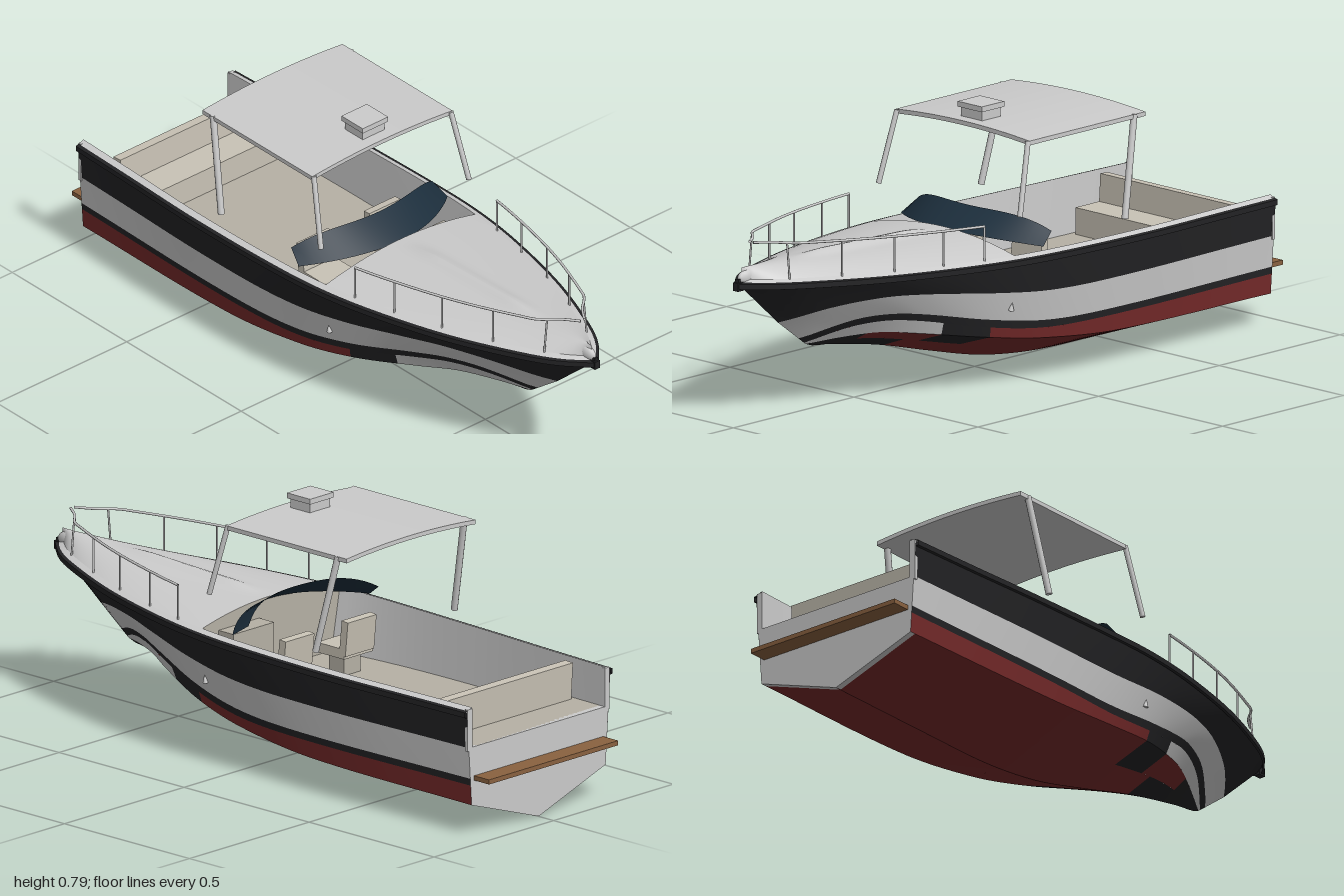
import * as THREE from 'three';

const mat = (color) => new THREE.MeshStandardMaterial({ color, side: THREE.DoubleSide });
const GREY = mat(0xcccccc), BLACK = mat(0x232325), RED = mat(0x762a2a), GLASS = mat(0x1c2e3c),
  WOOD = mat(0x8a6240), BEIGE = mat(0xb6b1a5), SEAT = mat(0xc9c3b6);

// Smooth curve through [x, value] points
function curve(pts) {
  const n = pts.length;
  const slope = (i) => {
    const a = pts[Math.max(i - 1, 0)], b = pts[Math.min(i + 1, n - 1)];
    return (b[1] - a[1]) / (b[0] - a[0]);
  };
  return (x) => {
    if (x <= pts[0][0]) return pts[0][1];
    if (x >= pts[n - 1][0]) return pts[n - 1][1];
    let i = 0;
    while (x > pts[i + 1][0]) i++;
    const [x0, y0] = pts[i], [x1, y1] = pts[i + 1], h = x1 - x0, t = (x - x0) / h;
    const t2 = t * t, t3 = t2 * t;
    return (2 * t3 - 3 * t2 + 1) * y0 + (t3 - 2 * t2 + t) * h * slope(i)
      + (3 * t2 - 2 * t3) * y1 + (t3 - t2) * h * slope(i + 1);
  };
}

// Hull lines: keel and stem, chine, sheer
const STERN = -0.94, FLOOR = 0.22, BULKHEAD = 0.13;
const keelY = curve([[-0.94, 0], [-0.5, 0], [-0.3, 0.001], [-0.15, 0.012], [0, 0.035], [0.2, 0.085], [0.4, 0.138],
  [0.6, 0.177], [0.7, 0.195], [0.815, 0.28], [0.98, 0.425]]);
const chineY = curve([[-0.94, 0.095], [-0.3, 0.105], [0, 0.133], [0.2, 0.165], [0.4, 0.2], [0.5, 0.213], [0.6, 0.208], [0.7, 0.195]]);
const chineZ = curve([[-0.94, 0.28], [-0.3, 0.285], [0, 0.268], [0.2, 0.232], [0.4, 0.158], [0.5, 0.108], [0.6, 0.055], [0.7, 0]]);
const sheerY = curve([[-0.94, 0.378], [-0.4, 0.382], [0, 0.39], [0.5, 0.405], [0.98, 0.425]]);
const sheerZ = curve([[-0.94, 0.3], [-0.7, 0.308], [-0.4, 0.319], [0, 0.318], [0.2, 0.3], [0.4, 0.26], [0.6, 0.204],
  [0.8, 0.125], [0.9, 0.073], [0.98, 0.008]]);

// Half breadth of the hull at a given station and height
function halfBreadth(x, y) {
  const k = keelY(x), cy = x > 0.7 ? k : chineY(x), cz = x > 0.7 ? 0 : chineZ(x), sy = sheerY(x);
  if (y <= cy) return cy - k < 1e-4 ? 0 : Math.max(0, cz * (y - k) / (cy - k));
  if (sy - cy < 1e-4) return sheerZ(x);
  return cz + (sheerZ(x) - cz) * Math.min(1, (y - cy) / (sy - cy));
}

export function createModel() {
  const boat = new THREE.Group();
  boat.name = 'motorboat';

  const add = (name, geometry, material, x = 0, y = 0, z = 0) => {
    const m = new THREE.Mesh(geometry, material);
    m.name = name;
    m.position.set(x, y, z);
    boat.add(m);
    return m;
  };
  const box = (name, material, x0, x1, y0, y1, z0, z1) =>
    add(name, new THREE.BoxGeometry(x1 - x0, y1 - y0, z1 - z0), material, (x0 + x1) / 2, (y0 + y1) / 2, (z0 + z1) / 2);

  // Grid surface from a rule f(u, v) -> [x, y, z], optionally mirrored in z
  function grid(f, nu, nv, side = 1) {
    const pos = [], idx = [], w = nu + 1;
    for (let j = 0; j <= nv; j++) for (let i = 0; i <= nu; i++) {
      const [x, y, z] = f(i / nu, j / nv);
      pos.push(x, y, z * side);
    }
    for (let j = 0; j < nv; j++) for (let i = 0; i < nu; i++) {
      const a = j * w + i, b = a + 1, c = b + w, d = a + w;
      if (side > 0) idx.push(a, b, c, a, c, d);
      else idx.push(a, c, b, a, d, c);
    }
    const g = new THREE.BufferGeometry();
    g.setAttribute('position', new THREE.Float32BufferAttribute(pos, 3));
    g.setIndex(idx);
    g.computeVertexNormals();
    return g;
  }
  const sides = (name, f, nu, nv, material) => {
    add(name + 'Left', grid(f, nu, nv), material);
    add(name + 'Right', grid(f, nu, nv, -1), material);
  };
  const rod = (name, a, b, r, n = 10) => {
    const p = new THREE.Vector3(...a), d = new THREE.Vector3(...b).sub(p);
    const m = add(name, new THREE.CylinderGeometry(r, r, d.length(), n), GREY);
    m.position.copy(p).addScaledVector(d, 0.5);
    m.quaternion.setFromUnitVectors(new THREE.Vector3(0, 1, 0), d.normalize());
  };

  // Hull rows running from stern to stem
  const row = (yOf, xEnd) => (t) => {
    const x = STERN + (xEnd - STERN) * t, y = yOf(x);
    return [x, y, t === 1 && xEnd < 0.9 ? 0 : halfBreadth(x, y)];
  };
  const keel = row(keelY, 0.7), chine = row(chineY, 0.7);
  const bilge = row((x) => (keelY(x) + chineY(x)) / 2, 0.7);
  const stripeLow = row(curve([[-0.94, 0.155], [-0.2, 0.157], [0, 0.165], [0.2, 0.196], [0.4, 0.24], [0.5, 0.252],
    [0.6, 0.241], [0.707, 0.2]]), 0.707);
  const stripeTop = row(curve([[-0.94, 0.176], [-0.2, 0.178], [0, 0.188], [0.2, 0.22], [0.4, 0.262], [0.5, 0.274],
    [0.6, 0.266], [0.73, 0.217]]), 0.73);
  const bandLow = row(curve([[-0.94, 0.27], [-0.2, 0.272], [0, 0.28], [0.2, 0.303], [0.4, 0.328], [0.55, 0.336],
    [0.7, 0.318], [0.815, 0.28]]), 0.815);
  const sheer = row(sheerY, 0.98);

  // Painted strakes: lower row, upper row, then [end, colour] runs along the length
  const strakes = [
    ['bottomInner', keel, bilge, [[0.805, RED], [1, BLACK]]],
    ['bottomOuter', bilge, chine, [[0.683, RED], [0.774, BLACK], [0.9, RED], [1, BLACK]]],
    ['lowerSide', chine, stripeLow, [[0.683, RED], [0.774, BLACK], [1, GREY]]],
    ['stripe', stripeLow, stripeTop, [[1, BLACK]]],
    ['side', stripeTop, bandLow, [[1, GREY]]],
    ['topBand', bandLow, sheer, [[1, BLACK]]],
  ];
  for (const [name, low, high, runs] of strakes) {
    let start = 0;
    for (const [end, material] of runs) {
      const s = start;
      sides(name, (u, v) => {
        const t = s + (end - s) * u, a = low(t), b = high(t);
        return a.map((c, i) => c + (b[i] - c) * v);
      }, Math.ceil(64 * (end - s)), 4, material);
      start = end;
    }
  }

  // Rub rail and gunwale cap around the sheer
  const edge = (dz, dy) => (t) => {
    const [x, y, z] = sheer(t);
    return [x + (t > 0.99 ? Math.max(dz, -0.02) : 0), y + dy, Math.max(0, z + dz)];
  };
  const trims = [['rubRailUnder', edge(0, -0.016), edge(0.008, -0.014), BLACK], ['rubRail', edge(0.008, -0.014), edge(0.008, 0.002), BLACK],
    ['rubRailTop', edge(0.008, 0.002), edge(-0.003, 0.005), BLACK], ['gunwale', edge(-0.003, 0.005), edge(-0.022, 0.012), GREY]];
  for (const [name, a, b, m] of trims)
    sides(name, (u, v) => { const p = a(u), q = b(u); return p.map((c, i) => c + (q[i] - c) * v); }, 64, 1, m);
  box('stemCap', BLACK, 0.965, 0.99, 0.405, 0.43, -0.01, 0.01);

  // Transom and bulwark ends
  const t = new THREE.Shape();
  [[0, 0], [0.28, 0.095], [0.292, 0.27], [-0.292, 0.27], [-0.28, 0.095]].forEach(([z, y], i) => i ? t.lineTo(z, y) : t.moveTo(z, y));
  const transom = new THREE.ExtrudeGeometry(t, { depth: 0.02, bevelEnabled: false });
  transom.rotateY(-Math.PI / 2);
  add('transom', transom, GREY, STERN + 0.02);
  for (const s of [-1, 1]) box('bulwarkEnd', GREY, STERN, STERN + 0.01, 0.26, 0.386, s * 0.287 - 0.01, s * 0.287 + 0.01);

  // Cockpit lining, floor and forward bulkhead
  const cockpitX = (u) => STERN + (BULKHEAD - STERN) * u;
  const innerZ = (x) => halfBreadth(x, FLOOR) - 0.012;
  sides('cockpitWall', (u, v) => {
    const x = cockpitX(u), z = sheerZ(x) - 0.022;
    return [x, sheerY(x) + 0.012 + (FLOOR - sheerY(x) - 0.012) * v, z + (innerZ(x) - z) * v];
  }, 30, 1, GREY);
  sides('cockpitFloor', (u, v) => [cockpitX(u), FLOOR, innerZ(cockpitX(u)) * (1 - v)], 30, 1, BEIGE);

  // Domed foredeck with a centre ridge
  const deckAt = (x, k) => {
    const z = Math.max(0, sheerZ(x) - 0.022) * k;
    const ridge = 0.012 * Math.exp(-((z / 0.025) ** 2)) * THREE.MathUtils.smoothstep(x, 0.15, 0.3) * (1 - THREE.MathUtils.smoothstep(x, 0.6, 0.78));
    return [x, sheerY(x) + 0.012 + 0.036 * (1 - k * k) + ridge, z];
  };
  sides('foredeck', (u, v) => deckAt(BULKHEAD + (0.965 - BULKHEAD) * u, 1 - v), 50, 20, GREY);
  sides('bulkhead', (u, v) => {
    const [x, y, z] = deckAt(BULKHEAD, 1 - u);
    return [x, FLOOR + (y - FLOOR) * v, z + (innerZ(x) * (1 - u) - z) * (1 - v)];
  }, 16, 1, BEIGE);
  const nose = add('bowFairing', new THREE.SphereGeometry(1, 16, 10), GREY, 0.935, 0.44, 0);
  nose.scale.set(0.045, 0.026, 0.017);
  box('bowRoller', BLACK, 0.96, 0.985, 0.415, 0.44, -0.006, 0.006);

  // Wraparound windshield
  add('windshield', grid((u, v) => {
    const s = 2 * u - 1, s2 = s * s;
    const a = [0.13 - 0.12 * s2, 0.435 - 0.025 * s2, 0.287 * s], b = [0.035 - 0.075 * s2, 0.49 - 0.045 * s2 * s2, 0.272 * s];
    return a.map((c, i) => c + (b[i] - c) * v);
  }, 28, 2), GLASS);

  // Hardtop with a slight camber, its posts and the roof box
  const roofY = (z) => 0.742 - 0.013 * (z / 0.27) ** 2;
  const roof = new THREE.BoxGeometry(0.48, 0.013, 0.54, 1, 1, 20);
  const rp = roof.attributes.position;
  for (let i = 0; i < rp.count; i++) rp.setY(i, rp.getY(i) + roofY(rp.getZ(i)) - 0.0065);
  roof.computeVertexNormals();
  add('hardtop', roof, GREY, -0.19);
  for (const s of [-1, 1]) {
    rod('rearPost', [-0.39, 0.728, s * 0.264], [-0.325, 0.432, s * 0.29], 0.01);
    rod('frontPost', [0.05, 0.728, s * 0.264], [0.105, 0.515, s * 0.285], 0.008);
  }
  box('roofBoxBase', GREY, -0.065, 0.012, 0.738, 0.77, -0.042, 0.042);
  box('roofBoxCap', GREY, -0.073, 0.02, 0.77, 0.786, -0.049, 0.049);

  // Bow rails with stanchions, and small side fittings
  const railY = (x) => 0.51 + 0.03 * (x - 0.24) / 0.68;
  const railZ = (x) => Math.max(0.007, (sheerZ(x) - 0.02) * (1 - THREE.MathUtils.smoothstep(x, 0.82, 0.94) * 0.85));
  for (const s of [-1, 1]) {
    const path = [];
    for (let i = 0; i <= 14; i++) {
      const x = 0.24 + 0.685 * i / 14;
      path.push(new THREE.Vector3(x, railY(x), s * railZ(x)));
    }
    add('bowRail', new THREE.TubeGeometry(new THREE.CatmullRomCurve3(path), 50, 0.004, 8), GREY);
    for (const x of [0.24, 0.38, 0.54, 0.7, 0.85])
      rod('stanchion', [x, sheerY(x) + 0.01, s * (sheerZ(x) - 0.02)], [x, railY(x), s * railZ(x)], 0.003, 8);
    const fitting = add('sideFitting', new THREE.ConeGeometry(0.009, 0.025, 10), GREY, 0.13, 0.252, s * (halfBreadth(0.13, 0.252) + 0.003));
    fitting.rotation.x = s * 0.2;
  }

  // Stern bench, helm seats, console and swim platform
  box('aftDeck', BEIGE, STERN, -0.8, 0.25, 0.27, -0.285, 0.285);
  box('benchBase', SEAT, -0.8, -0.69, FLOOR, 0.3, -0.265, 0.265);
  const back = box('benchBack', SEAT, -0.82, -0.79, 0.26, 0.382, -0.265, 0.265);
  back.rotation.z = 0.06;
  for (const s of [-1, 1]) {
    const z = s * 0.13;
    box('seatPedestal', BEIGE, -0.07, -0.01, FLOOR, 0.28, z - 0.035, z + 0.035);
    box('seatCushion', SEAT, -0.095, 0.015, 0.28, 0.31, z - 0.06, z + 0.06);
    box('seatBack', SEAT, -0.105, -0.08, 0.29, 0.395, z - 0.06, z + 0.06).rotation.z = 0.1;
  }
  box('helmConsole', BEIGE, 0.07, 0.13, FLOOR, 0.385, -0.22, -0.05);
  box('swimPlatform', WOOD, -1, STERN + 0.005, 0.168, 0.182, -0.27, 0.27);

  return boat;
}
